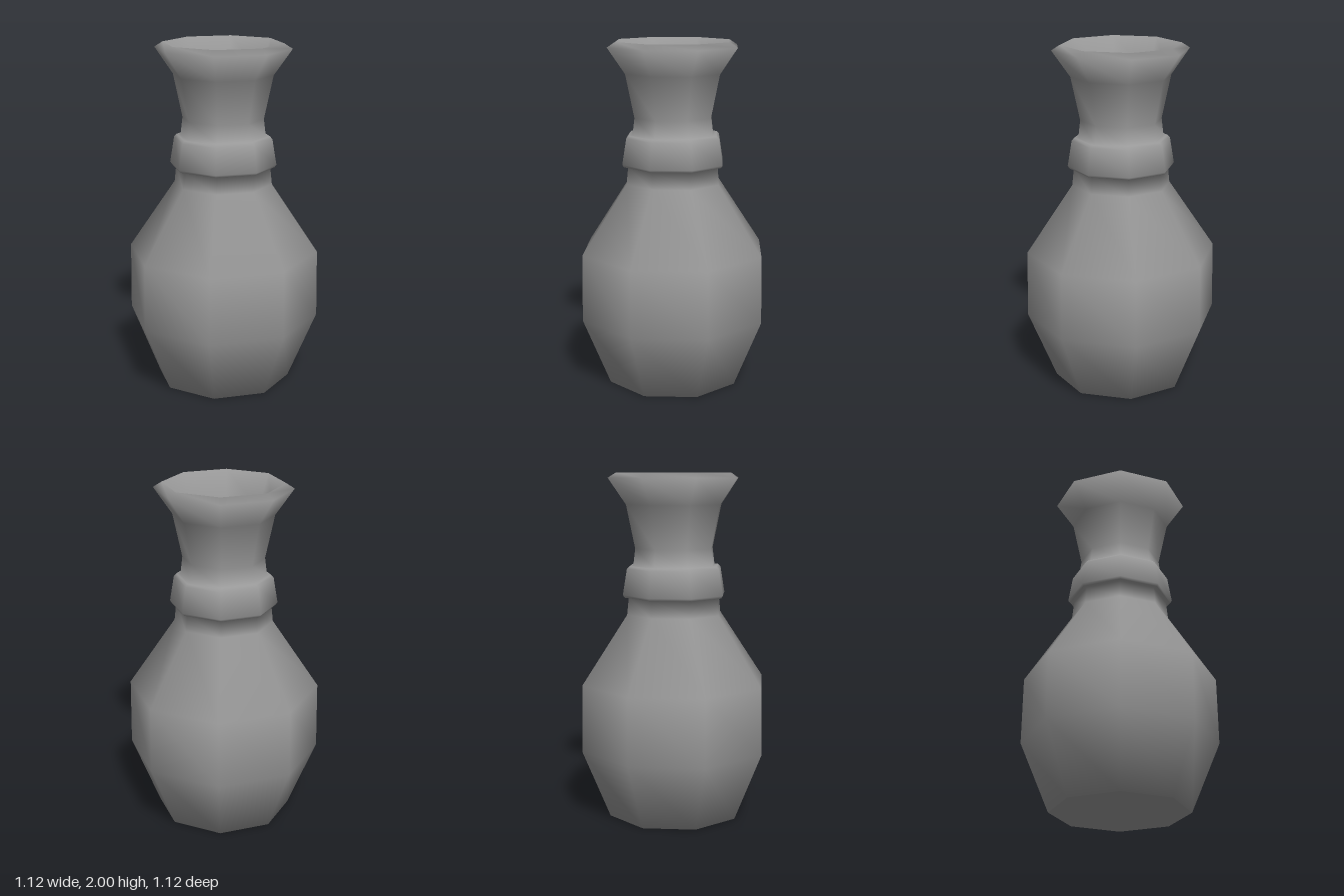
import * as THREE from 'three';

const SIDES = 8;
const material = new THREE.MeshStandardMaterial({ color: 0x999999 });

// Octagonal turned part from [radius, height] pairs. Every edge of the profile
// counts equally in the smooth normals, so short bevels shade as softly as long walls.
function turned(name, profile) {
  const points = profile.map(([r, y]) => new THREE.Vector2(r, y));
  const edges = points.slice(1).map((p, i) => {
    const d = p.clone().sub(points[i]).normalize();
    return new THREE.Vector2(d.y, -d.x);
  });
  const normals = points.map((_, i) => {
    const before = edges[Math.max(i - 1, 0)];
    const after = edges[Math.min(i, edges.length - 1)];
    return before.clone().add(after).normalize();
  });

  const geometry = new THREE.LatheGeometry(points, SIDES);
  const normal = geometry.attributes.normal;
  for (let i = 0; i < normal.count; i++) {
    const angle = Math.floor(i / points.length) * 2 * Math.PI / SIDES;
    const n = normals[i % points.length];
    normal.setXYZ(i, n.x * Math.sin(angle), n.y, n.x * Math.cos(angle));
  }
  const mesh = new THREE.Mesh(geometry, material);
  mesh.name = name;
  return mesh;
}

// Flat octagonal disc facing up (+1) or down (-1)
function disc(name, radius, y, facing) {
  const geometry = new THREE.CircleGeometry(radius, SIDES).rotateX(-facing * Math.PI / 2);
  const mesh = new THREE.Mesh(geometry, material);
  mesh.name = name;
  mesh.position.y = y;
  return mesh;
}

export function createModel() {
  const vase = new THREE.Group();
  vase.name = 'vase';

  vase.add(
    turned('body', [
      // foot, belly and shoulder
      [0.39, 0], [0.395, 0], [0.56, 0.4], [0.555, 0.79], [0.285, 1.19], [0.275, 1.29],
      // tapered collar
      [0.3, 1.29], [0.31, 1.305], [0.285, 1.455], [0.27, 1.47], [0.247, 1.47],
      // neck flaring out to the rim
      [0.235, 1.57], [0.288, 1.82], [0.393, 1.97],
      // over the rim and down the inside
      [0.345, 2], [0.27, 1.8], [0.22, 1.58],
    ]),
    disc('innerFloor', 0.22, 1.58, 1),
    disc('base', 0.39, 0, -1),
  );
  return vase;
}
